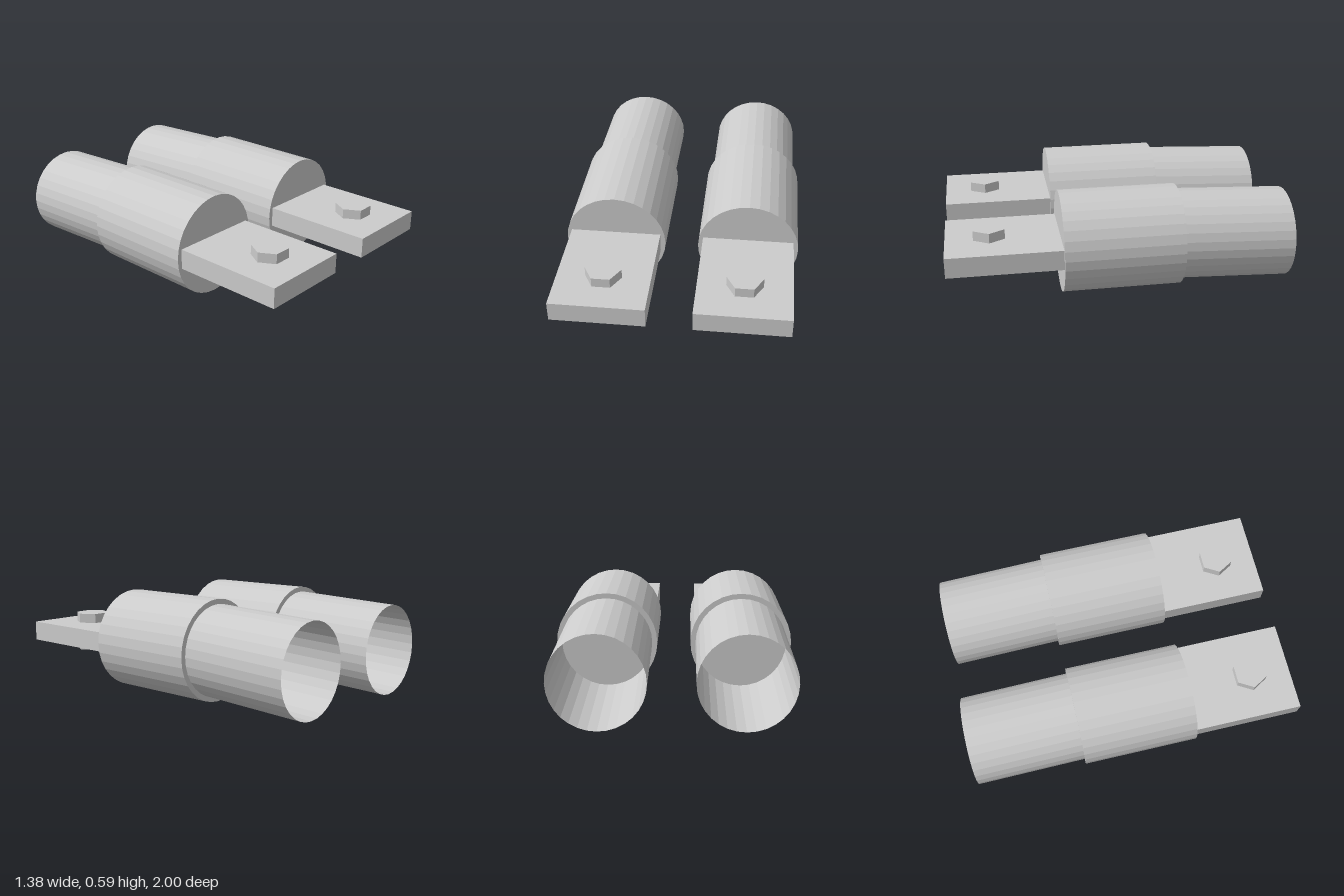
import * as THREE from 'three';

const SIDES = 32;
const AXIS_Y = 0.298;

export function createModel() {
  const model = new THREE.Group();
  const solid = new THREE.MeshStandardMaterial({ color: 0xcccccc, flatShading: true });
  const open = new THREE.MeshStandardMaterial({ color: 0xcccccc, flatShading: true, side: THREE.DoubleSide });

  const add = (parent, name, geometry, material, y, z) => {
    const mesh = new THREE.Mesh(geometry, material);
    mesh.name = name;
    mesh.position.set(0, y, z);
    parent.add(mesh);
  };

  // Closed sleeve along z
  const sleeve = new THREE.CylinderGeometry(0.297, 0.297, 0.69, SIDES).rotateX(Math.PI / 2);

  // Open pipe, sheared so it drops towards the back
  const pipe = new THREE.CylinderGeometry(0.267, 0.267, 0.655, SIDES, 1, true).rotateX(Math.PI / 2);
  const p = pipe.attributes.position;
  for (let i = 0; i < p.count; i++) {
    p.setY(i, p.getY(i) + 0.042 * (p.getZ(i) - 0.3275));
  }
  pipe.computeVertexNormals();

  // Flat tongue and the hexagonal bolt through it
  const tongue = new THREE.BoxGeometry(0.535, 0.118, 0.655);
  const bolt = new THREE.CylinderGeometry(0.104, 0.104, 0.234, 6).rotateY(Math.PI / 6);

  for (const [name, x] of [['leftCoupling', 0.395], ['rightCoupling', -0.395]]) {
    const coupling = new THREE.Group();
    coupling.name = name;
    coupling.position.x = x;
    add(coupling, 'sleeve', sleeve, solid, AXIS_Y, 0);
    add(coupling, 'pipe', pipe, open, AXIS_Y, -0.6725);
    add(coupling, 'tongue', tongue, solid, AXIS_Y, 0.6725);
    add(coupling, 'bolt', bolt, solid, AXIS_Y, 0.75);
    model.add(coupling);
  }
  return model;
}
